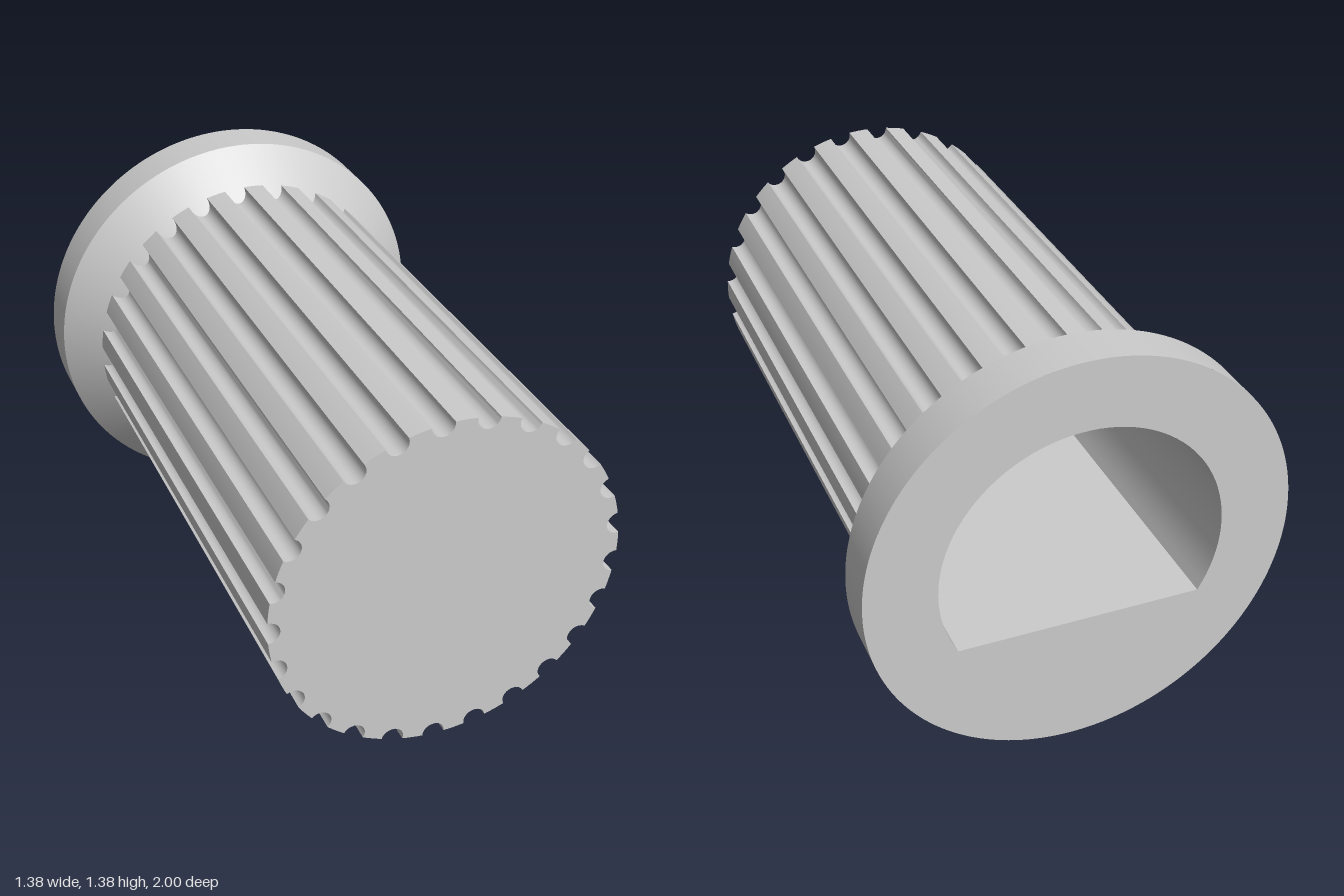
import * as THREE from 'three';
import { toCreasedNormals } from 'three/addons/utils/BufferGeometryUtils.js';

const AXIS_Y = 0.69, FRONT = 1, BACK = -1;
const BODY_R = 0.575, FLANGE_R = 0.69;
const GROOVES = 25, GROOVE_R = 0.037, GROOVE_C = 0.572, FIRST = THREE.MathUtils.degToRad(94.2);
const BORE_R = 0.46, BORE_FLAT = -0.23, BORE_END = 0.85;
const coneZ = r => -0.73 + BODY_R - r; // 45 degree shoulder

// Counter-clockwise outline of the body: a round groove, then a ridge arc, repeated
function grooveOutline() {
  const pts = [], step = Math.PI * 2 / GROOVES;
  const phi = Math.acos((BODY_R ** 2 - GROOVE_C ** 2 - GROOVE_R ** 2) / (2 * GROOVE_C * GROOVE_R));
  const half = Math.atan2(GROOVE_R * Math.sin(phi), GROOVE_C + GROOVE_R * Math.cos(phi));
  for (let g = 0; g < GROOVES; g++) {
    const mid = FIRST + g * step, centre = new THREE.Vector2();
    for (let i = 0; i <= 12; i++) {
      const t = -phi - (i / 12) * (2 * Math.PI - 2 * phi);
      pts.push(new THREE.Vector2(GROOVE_C + GROOVE_R * Math.cos(t), GROOVE_R * Math.sin(t)).rotateAround(centre, mid));
    }
    for (let i = 1; i < 4; i++) {
      const a = mid + half + (i / 4) * (step - 2 * half);
      pts.push(new THREE.Vector2(BODY_R * Math.cos(a), BODY_R * Math.sin(a)));
    }
  }
  return pts;
}

// D-shaped outline of the bore, flat side down
function boreOutline() {
  const pts = [], start = Math.asin(BORE_FLAT / BORE_R), sweep = Math.PI - 2 * start;
  for (let i = 0; i <= 64; i++) {
    const a = start + sweep * i / 64;
    pts.push(new THREE.Vector2(BORE_R * Math.cos(a), BORE_R * Math.sin(a)));
  }
  return pts;
}

const at = (pts, z) => pts.map(p => new THREE.Vector3(p.x, p.y, typeof z === 'function' ? z(p.length()) : z));

// Wall between two matching loops
function wall(a, b) {
  const pos = [], n = a.length;
  for (let i = 0; i < n; i++) {
    const j = (i + 1) % n;
    for (const v of [a[i], b[i], b[j], a[i], b[j], a[j]]) pos.push(v.x, v.y, v.z);
  }
  const geo = new THREE.BufferGeometry();
  geo.setAttribute('position', new THREE.Float32BufferAttribute(pos, 3));
  return toCreasedNormals(geo, 0.55);
}

// Flat end, facing front or back
function cap(pts, z, facesBack, hole) {
  const shape = new THREE.Shape(pts);
  if (hole) shape.holes.push(new THREE.Path(hole));
  const geo = new THREE.ShapeGeometry(shape);
  if (facesBack) geo.rotateY(Math.PI);
  return geo.translate(0, 0, z);
}

export function createModel() {
  const model = new THREE.Group();
  model.name = 'knob';
  const material = new THREE.MeshStandardMaterial({ color: 0xcccccc });
  const add = (name, geo) => {
    const mesh = new THREE.Mesh(geo, material);
    mesh.name = name;
    mesh.position.y = AXIS_Y;
    model.add(mesh);
  };
  const body = grooveOutline(), bore = boreOutline();
  const rim = body.map(p => p.clone().setLength(FLANGE_R));

  // Grooved grip
  add('gripFace', cap(body, FRONT));
  add('grip', wall(at(body, FRONT), at(body, coneZ)));

  // Flange with conical shoulder
  add('shoulder', wall(at(body, coneZ), at(rim, coneZ)));
  add('flangeRim', wall(at(rim, coneZ), at(rim, BACK)));
  add('flangeBack', cap(rim, BACK, true, bore));

  // Blind D-shaped bore
  add('boreWall', wall(at(bore, BACK), at(bore, BORE_END)));
  add('boreEnd', cap(bore, BORE_END, true));
  return model;
}
